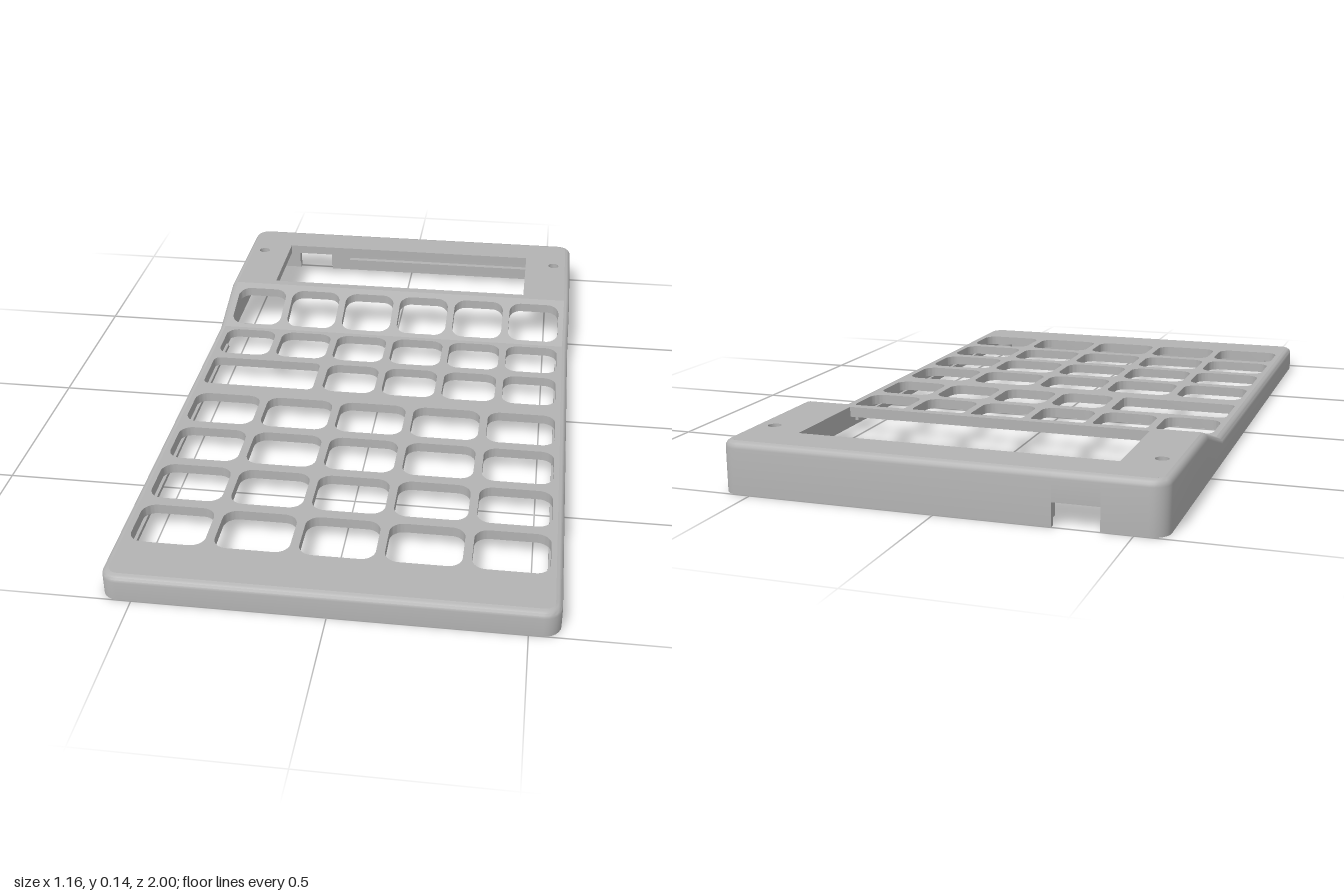
import * as THREE from 'three';
import { toCreasedNormals } from 'three/addons/utils/BufferGeometryUtils.js';

const HX = 0.58, HZ = 1, R = 0.045;          // half width, half length, corner radius
const FILLET = 0.018, WALL = 0.03, LIP = 0.015, PLATE = 0.028;
const LOW = 0.073, HIGH = 0.138;             // keypad and display heights
const BEND_LOW = -0.345, BEND_HIGH = -0.55;  // ends of the slope

const topAt = (z) => {
  const k = THREE.MathUtils.clamp((z - BEND_LOW) / (BEND_HIGH - BEND_LOW), 0, 1);
  return LOW + (HIGH - LOW) * k;
};

// Rounded rectangle from corner bounds in x and z, drawn with y = -z
function roundedRect(target, x0, x1, z0, z1, r) {
  const a = -z1, b = -z0;
  target.moveTo(x0 + r, a);
  target.lineTo(x1 - r, a);
  if (r) target.absarc(x1 - r, a + r, r, -Math.PI / 2, 0);
  target.lineTo(x1, b - r);
  if (r) target.absarc(x1 - r, b - r, r, 0, Math.PI / 2);
  target.lineTo(x0 + r, b);
  if (r) target.absarc(x0 + r, b - r, r, Math.PI / 2, Math.PI);
  target.lineTo(x0, a + r);
  if (r) target.absarc(x0 + r, a + r, r, Math.PI, Math.PI * 1.5);
  return target;
}
const rectHole = (x0, x1, z0, z1, r) => roundedRect(new THREE.Path(), x0, x1, z0, z1, r);

// Extrudes a plate upward and lets it follow the top height
function plateGeometry(shape, holes) {
  shape.holes.push(...holes);
  const g = new THREE.ExtrudeGeometry(shape, { depth: PLATE, bevelEnabled: false, curveSegments: 6 });
  g.rotateX(-Math.PI / 2);
  const p = g.attributes.position;
  for (let i = 0; i < p.count; i++) p.setY(i, p.getY(i) + topAt(p.getZ(i)) - PLATE);
  return toCreasedNormals(g, 0.6);
}

// Outline between two z values, rounding the two corners on one end only
function endShape(zStraight, zEnd) {
  const s = new THREE.Shape(), x = HX - FILLET, r = R - FILLET;
  const dir = Math.sign(zEnd - zStraight), e = zEnd - dir * r;
  s.moveTo(-x, -zStraight);
  s.lineTo(x, -zStraight);
  s.lineTo(x, -e);
  s.absarc(x - r, -e, r, 0, -dir * Math.PI / 2, dir > 0);
  s.lineTo(-x + r, -zEnd);
  s.absarc(-x + r, -e, r, -dir * Math.PI / 2, -dir * Math.PI, dir > 0);
  return s;
}

// Wall: a cross-section carried around the outline, with a cable notch at the back
function wallGeometry() {
  const pts = [];
  const add = (cx, cz, nx, nz, bottom = 0) => pts.push({ cx, cz, nx, nz, bottom });
  const corner = (sx, sz, start) => {
    for (let i = 0; i <= 6; i++) {
      const a = start + (i / 6) * Math.PI / 2;
      add(sx * (HX - R), sz * (HZ - R), Math.cos(a), -Math.sin(a));
    }
  };
  const zc = -HZ + R;
  add(HX - R, BEND_LOW, 1, 0);
  add(HX - R, BEND_HIGH, 1, 0);
  corner(1, -1, 0);
  for (const [x, b] of [[-0.3, 0], [-0.3, 0.062], [-0.42, 0.062], [-0.42, 0]]) add(x, zc, 0, -1, b);
  corner(-1, -1, Math.PI / 2);
  add(-HX + R, BEND_HIGH, -1, 0);
  add(-HX + R, BEND_LOW, -1, 0);
  corner(-1, 1, Math.PI);
  corner(1, 1, Math.PI * 1.5);

  const section = (b, h) => {
    const s = [[0, b]];
    for (let i = 0; i <= 4; i++) {
      const a = (i / 4) * Math.PI / 2;
      s.push([FILLET * (1 - Math.cos(a)), h - FILLET + FILLET * Math.sin(a)]);
    }
    // underside of the plate, inner face and stepped rim
    s.push([WALL, h - PLATE], [WALL, b + 0.02], [LIP, b + 0.02], [LIP, b], [0, b]);
    return s;
  };
  const rings = pts.map((p) => section(p.bottom, topAt(p.cz)).map(([d, y]) =>
    [p.cx + p.nx * (R - d), y, p.cz + p.nz * (R - d)]));
  const pos = [];
  rings.forEach((a, i) => {
    const b = rings[(i + 1) % rings.length];
    for (let j = 0; j < a.length - 1; j++) {
      if (j === 5) continue; // covered by the plates
      pos.push(...a[j], ...b[j], ...b[j + 1], ...a[j], ...b[j + 1], ...a[j + 1]);
    }
  });
  const g = new THREE.BufferGeometry();
  g.setAttribute('position', new THREE.Float32BufferAttribute(pos, 3));
  g.computeVertexNormals();
  return toCreasedNormals(g, 0.6);
}

export function createModel() {
  const group = new THREE.Group();
  const grey = new THREE.MeshStandardMaterial({ color: 0xb3b3b3 });
  grey.name = 'case grey';
  const addMesh = (name, geometry, x = 0, y = 0, z = 0) => {
    const m = new THREE.Mesh(geometry, grey);
    m.name = name;
    m.position.set(x, y, z);
    group.add(m);
  };

  // Key openings
  const keyRow = (count, pitch, width, z0, z1, skip = 0) => {
    const holes = [];
    for (let i = skip; i < count; i++) {
      const x = (i - (count - 1) / 2) * pitch;
      holes.push(rectHole(x - width / 2, x + width / 2, z0, z1, 0.038));
    }
    return holes;
  };
  const padHoles = [
    ...keyRow(6, 0.1855, 0.163, -0.328, -0.164),
    rectHole(-0.547, -0.202, -0.132, 0.032, 0.02),
    ...keyRow(6, 0.1855, 0.163, -0.132, 0.032, 2),
  ];
  for (const z of [0.092, 0.29, 0.487, 0.684]) padHoles.push(...keyRow(5, 0.2235, 0.2, z, z + 0.164));

  // Display window and screw holes
  const displayHoles = [rectHole(-0.432, 0.424, -0.872, -0.577, 0)];
  for (const x of [-0.522, 0.522]) {
    displayHoles.push(new THREE.Path().absarc(x, 0.82, 0.018, 0, Math.PI * 2));
  }

  const xs = HX - FILLET;
  const slope = roundedRect(new THREE.Shape(), -xs, xs, BEND_HIGH, BEND_LOW, 0);
  addMesh('outerWall', wallGeometry());
  addMesh('keypadPlate', plateGeometry(endShape(BEND_LOW, HZ - FILLET), padHoles));
  addMesh('slopedPlate', plateGeometry(slope, keyRow(6, 0.1855, 0.163, -0.525, -0.362)));
  addMesh('displayPlate', plateGeometry(endShape(BEND_HIGH, -HZ + FILLET), displayHoles));

  // Hollow screw bosses under the plates
  const tube = (r, hole, y0, y1) => toCreasedNormals(new THREE.LatheGeometry(
    [[hole, y1], [hole, y0], [r, y0], [r, y1]].map(([x, y]) => new THREE.Vector2(x, y)), 20), 0.6);
  for (const s of [-1, 1]) {
    addMesh('displayBoss', tube(0.034, 0.018, 0.055, HIGH - PLATE), s * 0.522, 0, -0.82);
    addMesh('backCornerPost', tube(0.027, 0.014, 0.012, HIGH - PLATE), s * 0.515, 0, -0.935);
    addMesh('frontCornerPost', tube(0.027, 0.014, 0.012, LOW - PLATE), s * 0.515, 0, 0.935);
    // Snap ridge along each side
    addMesh('sideRidge', new THREE.BoxGeometry(0.012, 0.012, 1.15), s * 0.547, 0.028, 0.28);
  }
  // Ribs inside the two ends
  addMesh('frontRib', new THREE.BoxGeometry(0.9, 0.012, 0.02), 0, 0.028, 0.962);
  addMesh('backRib', new THREE.BoxGeometry(0.66, 0.03, 0.02), 0.1, 0.04, -0.962);

  return group;
}
